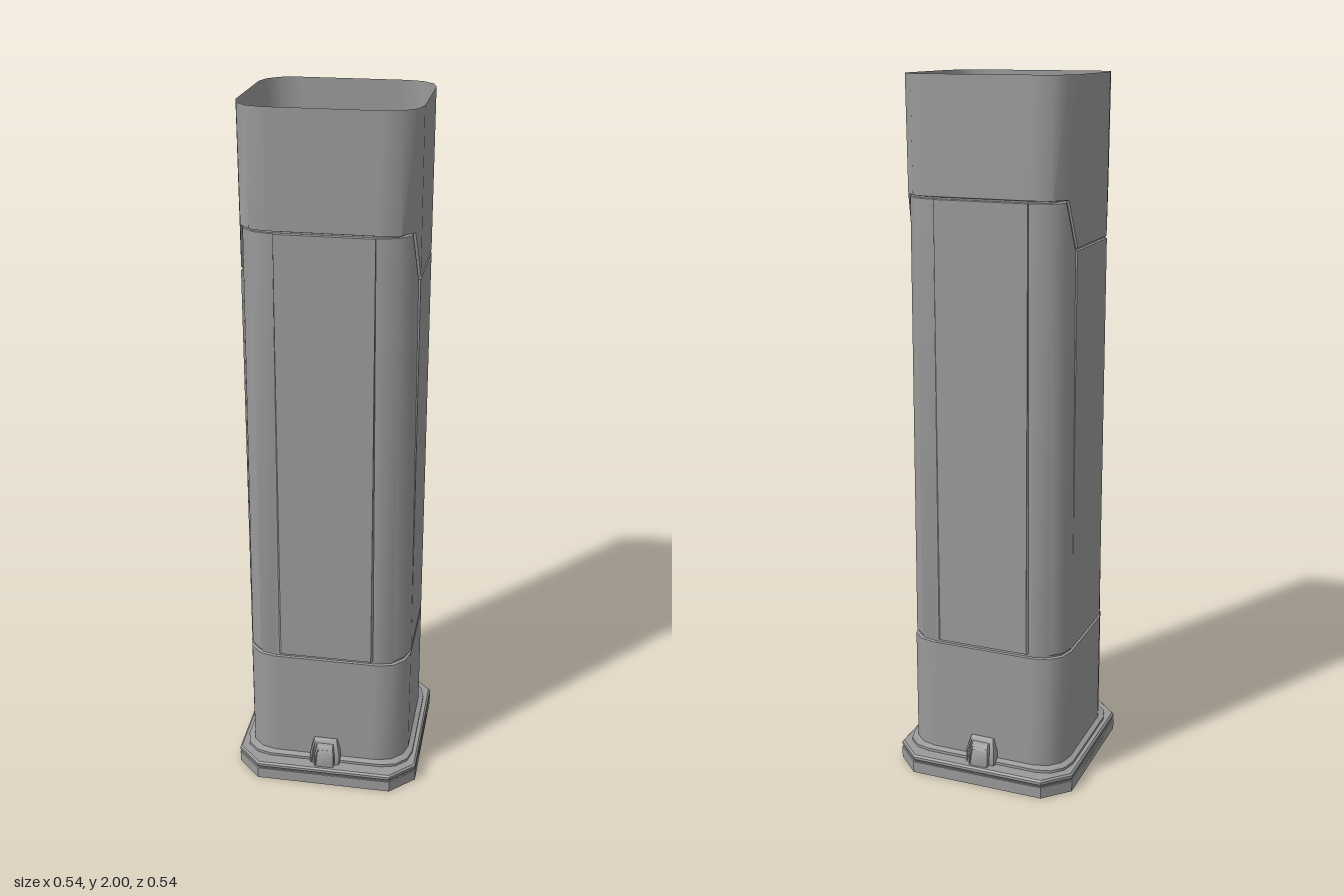
import * as THREE from 'three';
import { toCreasedNormals } from 'three/addons/utils/BufferGeometryUtils.js';

const material = new THREE.MeshStandardMaterial({ color: 0x9a9a9a, side: THREE.DoubleSide });

function add(parent, name, geometry) {
  const mesh = new THREE.Mesh(geometry, material);
  mesh.name = name;
  parent.add(mesh);
  return mesh;
}

// One quarter of the rounded cross-section: side panel edge, corner arc, front panel edge
const quarter = [{ x: 0.24, z: 0.127, kind: 'side', slant: true }];
for (let i = 0; i <= 3; i++) {
  const a = i * Math.PI / 6;
  quarter.push({
    x: 0.155 + 0.085 * Math.cos(a), z: 0.13 + 0.085 * Math.sin(a),
    kind: 'corner', low: i === 0, slant: i < 2
  });
}
quarter.push({ x: 0.139, z: 0.215, kind: 'corner' }, { x: 0.133, z: 0.215, kind: 'front' });

// Full loop by mirroring the quarter
const loop = [];
[[1, 1], [-1, 1], [-1, -1], [1, -1]].forEach(([sx, sz], q) => {
  const pts = q % 2 ? [...quarter].reverse() : quarter;
  pts.forEach(p => loop.push({ ...p, sx, sz }));
});

// Ring: y (sideY where the seam dips on the sides), insets of corners and panels,
// and slide, which opens the slanted part of the seam
function loft(rings) {
  const n = loop.length, pos = [], index = [];
  rings.forEach(({ y, sideY = y, cx = 0, cz = 0, panel = 0, slide = 0 }) => {
    loop.forEach(p => {
      const corner = p.kind === 'corner';
      const dx = corner ? cx : panel, dz = corner ? cz : panel;
      pos.push(
        p.sx * (p.x - (p.kind === 'front' ? 0 : dx)),
        p.kind === 'side' || p.low ? sideY : y,
        p.sz * (p.z - (p.kind === 'side' ? 0 : dz) - (p.slant ? slide : 0))
      );
    });
  });
  for (let r = 0; r < rings.length - 1; r++) {
    for (let i = 0; i < n; i++) {
      const a = r * n + i, b = r * n + (i + 1) % n;
      index.push(a, a + n, b, b, a + n, b + n);
    }
  }
  const g = new THREE.BufferGeometry();
  g.setAttribute('position', new THREE.Float32BufferAttribute(pos, 3));
  g.setIndex(index);
  return toCreasedNormals(g, 0.6);
}

// Eight-sided slab lying flat between two heights
function slab(h, chamfer, y0, y1, bevel = 0) {
  const k = h - bevel, c = k - chamfer + bevel * 0.4;
  const s = new THREE.Shape([
    [k, -c], [k, c], [c, k], [-c, k], [-k, c], [-k, -c], [-c, -k], [c, -k]
  ].map(p => new THREE.Vector2(...p)));
  const g = new THREE.ExtrudeGeometry(s, {
    depth: y1 - y0 - 2 * bevel, bevelEnabled: bevel > 0,
    bevelSize: bevel, bevelThickness: bevel, bevelSegments: 1
  });
  return g.rotateX(-Math.PI / 2).translate(0, y0 + bevel, 0);
}

// Tapered block with rounded edges, its front leaning back towards the top
function latchBlock(bottom, top, y1, z1, lean) {
  const y0 = 0.05, b = 0.006;
  const s = new THREE.Shape([
    [-bottom + b, y0], [bottom - b, y0], [bottom - b, 0.09], [top - b, y1 - b], [-top + b, y1 - b], [-bottom + b, 0.09]
  ].map(p => new THREE.Vector2(...p)));
  const g = new THREE.ExtrudeGeometry(s, {
    depth: z1 - 0.2 - b, bevelSize: b, bevelThickness: b, bevelSegments: 2
  }).translate(0, 0, 0.2);
  const p = g.attributes.position;
  for (let i = 0; i < p.count; i++) {
    if (p.getZ(i) > 0.21) p.setZ(i, p.getZ(i) - Math.max(0, p.getY(i) - 0.085) * lean);
  }
  return toCreasedNormals(g, 0.7);
}

export function createModel() {
  const model = new THREE.Group();
  model.name = 'openTube';

  // Hollow body: lower sleeve, groove, panelled middle, dipping seam, upper collar
  add(model, 'tubeBody', loft([
    { y: 0.05 },
    { y: 0.404 },
    { y: 0.406, cx: 0.006, cz: 0.006, panel: 0.006 },
    { y: 0.411, cx: 0.006, cz: 0.006, panel: 0.006 },
    { y: 0.414, cx: 0, cz: 0.006, panel: 0 },
    { y: 1.679, sideY: 1.551, cx: 0.006, cz: 0.006, panel: 0 },
    { y: 1.681, sideY: 1.553, cx: 0.008, cz: 0.008, panel: 0.006 },
    { y: 1.685, sideY: 1.557, cx: 0.008, cz: 0.008, panel: 0.006, slide: 0.004 },
    { y: 1.687, sideY: 1.559, slide: 0.006 },
    { y: 2 }
  ]));

  // Flange around the foot of the tube
  add(model, 'footFlange', loft([
    { y: 0.05, cx: -0.014, cz: -0.014, panel: -0.014 },
    { y: 0.063, cx: -0.014, cz: -0.014, panel: -0.014 },
    { y: 0.069 }
  ]));

  // Base plate in two layers with a fine seam
  add(model, 'basePlate', slab(0.27, 0.07, 0, 0.034));
  add(model, 'plateSeam', slab(0.267, 0.07, 0.034, 0.037));
  add(model, 'plateRim', slab(0.27, 0.07, 0.037, 0.055, 0.005));

  // Thin ribs on the plate edges
  for (const s of [-1, 1]) {
    add(model, 'endRib', new THREE.BoxGeometry(0.28, 0.006, 0.004)).position.set(0, 0.03, s * 0.2685);
    add(model, 'sideRib', new THREE.BoxGeometry(0.004, 0.006, 0.2)).position.set(s * 0.2685, 0.02, 0);
  }

  // Latches at the front and back
  for (const angle of [0, Math.PI]) {
    const latch = new THREE.Group();
    latch.name = angle ? 'backLatch' : 'frontLatch';
    add(latch, 'latchHousing', latchBlock(0.045, 0.036, 0.13, 0.243, 0.45));
    add(latch, 'latchTongue', latchBlock(0.03, 0.026, 0.118, 0.259, 0.6));
    const ridge = add(latch, 'latchRidge', new THREE.BoxGeometry(0.04, 0.006, 0.008));
    ridge.position.set(0, 0.103, 0.246);
    ridge.rotation.x = -0.54;
    latch.rotation.y = angle;
    model.add(latch);
  }
  return model;
}
